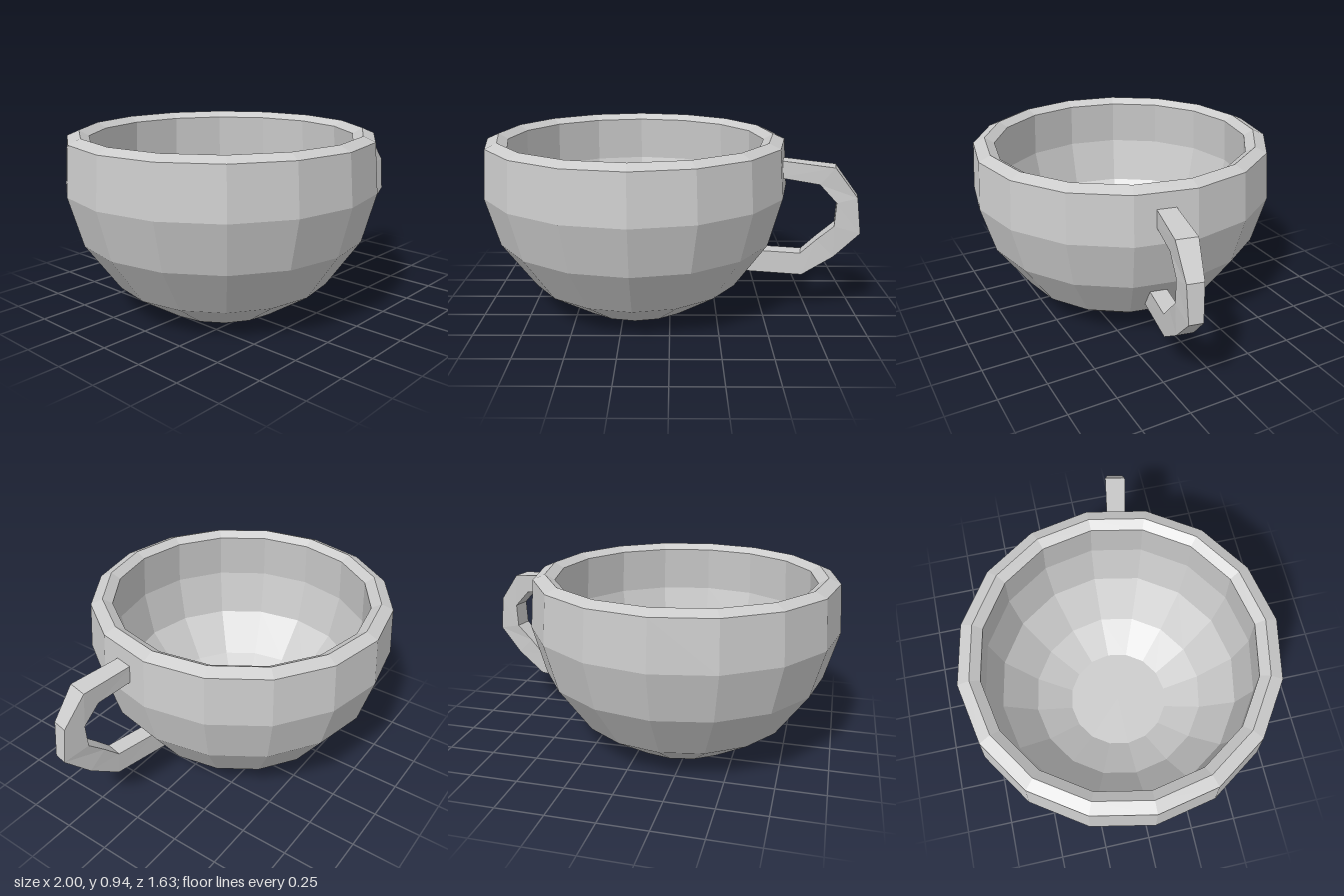
import * as THREE from 'three';

const SIDES = 16;
const CUP_X = -0.185;
const HANDLE_ANGLE = Math.PI / SIDES; // middle of a bowl facet

// Closed bowl wall: base, outside, bevelled rim, inside, floor
function makeBowl(material) {
  const profile = [
    [0, 0], [0.325, 0], [0.572, 0.16], [0.747, 0.41], [0.817, 0.665],
    [0.797, 0.918], [0.735, 0.945], [0.685, 0.915],
    [0.7, 0.67], [0.645, 0.42], [0.472, 0.21], [0.277, 0.1], [0, 0.1],
  ].map(([x, y]) => new THREE.Vector2(x, y));
  const bowl = new THREE.Mesh(new THREE.LatheGeometry(profile, SIDES), material);
  bowl.name = 'bowl';
  return bowl;
}

// Angular ear-shaped handle, joined from four-cornered cross-sections
function makeHandle(material) {
  // outer x, y, width, then inner x, y, width, from the top end to the bottom end
  const sections = [
    [0.57, 0.84, 0.096, 0.57, 0.75, 0.096],
    [0.85, 0.815, 0.108, 0.778, 0.723, 0.1],
    [0.967, 0.66, 0.084, 0.866, 0.63, 0.1],
    [0.992, 0.47, 0.07, 0.86, 0.505, 0.1],
    [0.865, 0.336, 0.085, 0.775, 0.425, 0.092],
    [0.71, 0.225, 0.088, 0.697, 0.345, 0.09],
    [0.39, 0.225, 0.09, 0.46, 0.345, 0.09],
  ];
  const positions = [];
  for (const [ox, oy, ow, ix, iy, iw] of sections) {
    const u = (x) => (x - CUP_X) / Math.cos(HANDLE_ANGLE);
    positions.push(u(ox), oy, ow / 2, u(ox), oy, -ow / 2, u(ix), iy, -iw / 2, u(ix), iy, iw / 2);
  }
  const indices = [];
  const quad = (a, b, c, d) => indices.push(a, b, c, a, c, d);
  const last = (sections.length - 1) * 4;
  for (let s = 0; s < last; s += 4) {
    for (let j = 0; j < 4; j++) {
      const k = (j + 1) % 4;
      quad(s + j, s + 4 + j, s + 4 + k, s + k);
    }
  }
  quad(0, 1, 2, 3);
  quad(last + 3, last + 2, last + 1, last);

  const geometry = new THREE.BufferGeometry();
  geometry.setAttribute('position', new THREE.Float32BufferAttribute(positions, 3));
  geometry.setIndex(indices);
  geometry.computeVertexNormals();
  const handle = new THREE.Mesh(geometry, material);
  handle.name = 'handle';
  handle.rotation.y = -HANDLE_ANGLE;
  return handle;
}

export function createModel() {
  const material = new THREE.MeshStandardMaterial({ color: 0xcccccc, flatShading: true });
  const cup = new THREE.Group();
  cup.name = 'cup';
  cup.add(makeBowl(material), makeHandle(material));
  cup.position.x = CUP_X;
  const model = new THREE.Group();
  model.add(cup);
  return model;
}
